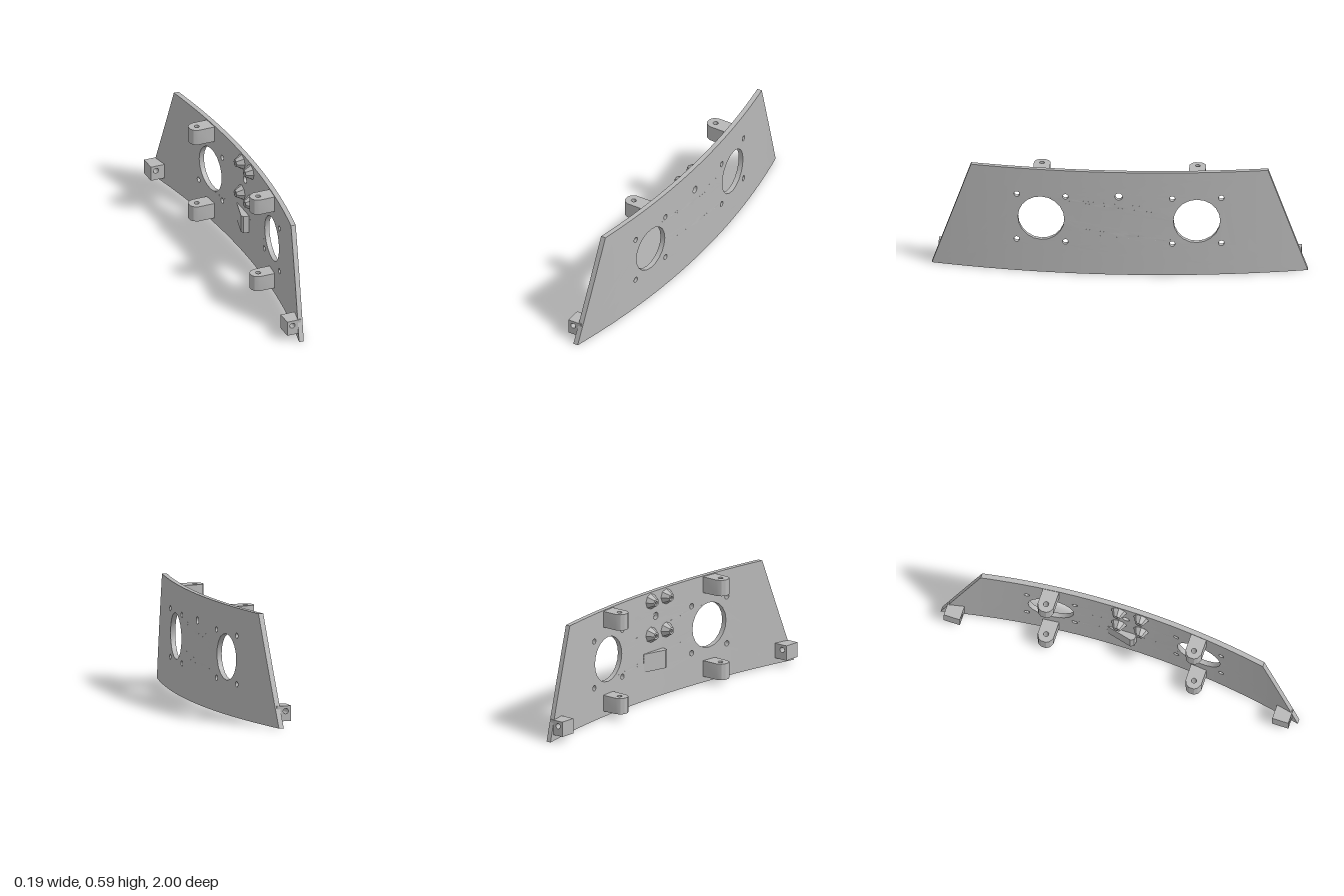
import * as THREE from 'three';
import { toCreasedNormals } from 'three/addons/utils/BufferGeometryUtils.js';

const THICK = 0.027;
const outerX = (z) => 0.097 - 0.115 * z * z; // bowed front surface
const innerX = (z) => outerX(z) - THICK;

const circle = (x, y, r) => new THREE.Path().absarc(x, y, r, 0, Math.PI * 2, true);

// Splits triangles until none spans more than `max` along x, so the plate can be bent.
function subdivide(geometry, max) {
  const p = geometry.toNonIndexed ? (geometry.index ? geometry.toNonIndexed() : geometry).attributes.position : null;
  const out = [];
  const split = (a, b, c) => {
    const edges = [[a, b, c], [b, c, a], [c, a, b]];
    edges.sort((e, f) => Math.abs(f[0].x - f[1].x) - Math.abs(e[0].x - e[1].x));
    const [s, t, o] = edges[0];
    if (Math.abs(s.x - t.x) <= max) {
      out.push(a, b, c);
      return;
    }
    const m = s.clone().add(t).multiplyScalar(0.5);
    split(s, m, o);
    split(m, t, o);
  };
  for (let i = 0; i < p.count; i += 3) {
    split(...[0, 1, 2].map((k) => new THREE.Vector3().fromBufferAttribute(p, i + k)));
  }
  return new THREE.BufferGeometry().setFromPoints(out);
}

// Trapezoid plate with two speaker openings, screw holes and a small centre hole, bent to the arc
function panelGeometry() {
  const shape = new THREE.Shape([[-1, 0], [1, 0], [0.79, 0.59], [-0.79, 0.59]].map((q) => new THREE.Vector2(...q)));
  shape.holes.push(circle(0, 0.45, 0.02));
  for (const s of [-1, 1]) {
    shape.holes.push(circle(s * 0.414, 0.31, 0.124));
    for (const du of [-0.13, 0.13]) {
      for (const y of [0.18, 0.44]) shape.holes.push(circle(s * 0.414 + du, y, 0.015));
    }
  }
  const flat = new THREE.ExtrudeGeometry(shape, { depth: THICK, bevelEnabled: false, curveSegments: 10 });
  const g = subdivide(flat, 0.08);
  const p = g.attributes.position;
  for (let i = 0; i < p.count; i++) {
    const u = p.getX(i);
    p.setXYZ(i, innerX(u) + p.getZ(i), p.getY(i), -u);
  }
  return toCreasedNormals(g, 0.4);
}

// Mounting bracket: rounded nose, vertical screw hole
function bracketGeometry() {
  const s = new THREE.Shape([
    [0.058, -0.044], [0.058, 0.044], [-0.04, 0.044], [-0.064, 0.032], [-0.075, 0.014],
    [-0.075, -0.014], [-0.064, -0.032], [-0.04, -0.044],
  ].map((q) => new THREE.Vector2(...q)));
  s.holes.push(circle(-0.03, 0, 0.014));
  const g = new THREE.ExtrudeGeometry(s, { depth: 0.088, bevelEnabled: false, curveSegments: 6 });
  return toCreasedNormals(g.rotateX(-Math.PI / 2), 0.5);
}

// End tab: block with a hole running lengthwise
function tabGeometry() {
  const s = new THREE.Shape([[-0.098, 0.033], [-0.018, 0.033], [-0.018, 0.115], [-0.098, 0.115]]
    .map((q) => new THREE.Vector2(...q)));
  s.holes.push(circle(-0.068, 0.087, 0.015));
  const g = new THREE.ExtrudeGeometry(s, { depth: 0.09, bevelEnabled: false, curveSegments: 8 });
  return toCreasedNormals(g.translate(0, 0, -0.045), 0.5);
}

// Six-sided screw post with a blind hole in its tip
function postGeometry() {
  const profile = [[0.045, 0], [0.02, 0.042], [0.009, 0.042], [0.009, 0.01], [0, 0.01]];
  const g = new THREE.LatheGeometry(profile.map((q) => new THREE.Vector2(...q)), 8).toNonIndexed();
  g.computeVertexNormals();
  return g.rotateZ(Math.PI / 2);
}

// Wedge-shaped support, its sloping face rising away from the panel
function wedgeGeometry() {
  const s = new THREE.Shape([[0.075, 0.1], [0.066, 0.1], [0.032, -0.035], [0.04, -0.055], [0.075, -0.06]]
    .map((q) => new THREE.Vector2(...q)));
  const g = new THREE.ExtrudeGeometry(s, { depth: 0.1, bevelEnabled: false });
  return g.rotateX(-Math.PI / 2);
}

export function createModel() {
  const model = new THREE.Group();
  model.name = 'curvedPanel';
  const grey = new THREE.MeshStandardMaterial({ color: 0xb8b8b8 });
  grey.name = 'grey';

  const add = (name, geometry, x = 0, y = 0, z = 0) => {
    const mesh = new THREE.Mesh(geometry, grey);
    mesh.name = name;
    mesh.position.set(x, y, z);
    model.add(mesh);
    return mesh;
  };

  add('panel', panelGeometry());

  // Mirrored brackets and end tabs
  const bracket = bracketGeometry();
  const tab = tabGeometry();
  for (const s of [-1, 1]) {
    add('upperBracket', bracket, 0, 0.497, s * 0.414);
    add('lowerBracket', bracket, 0, 0.032, s * 0.414);
    add('endTab', tab, 0, 0, s * 0.92);
  }

  // Screw posts around the centre hole
  const post = postGeometry();
  for (const z of [-0.04, 0.085]) {
    for (const y of [0.355, 0.54]) add('screwPost', post, 0.073, y, z);
  }

  add('wedgeSupport', wedgeGeometry(), 0, 0.16, 0);
  return model;
}
